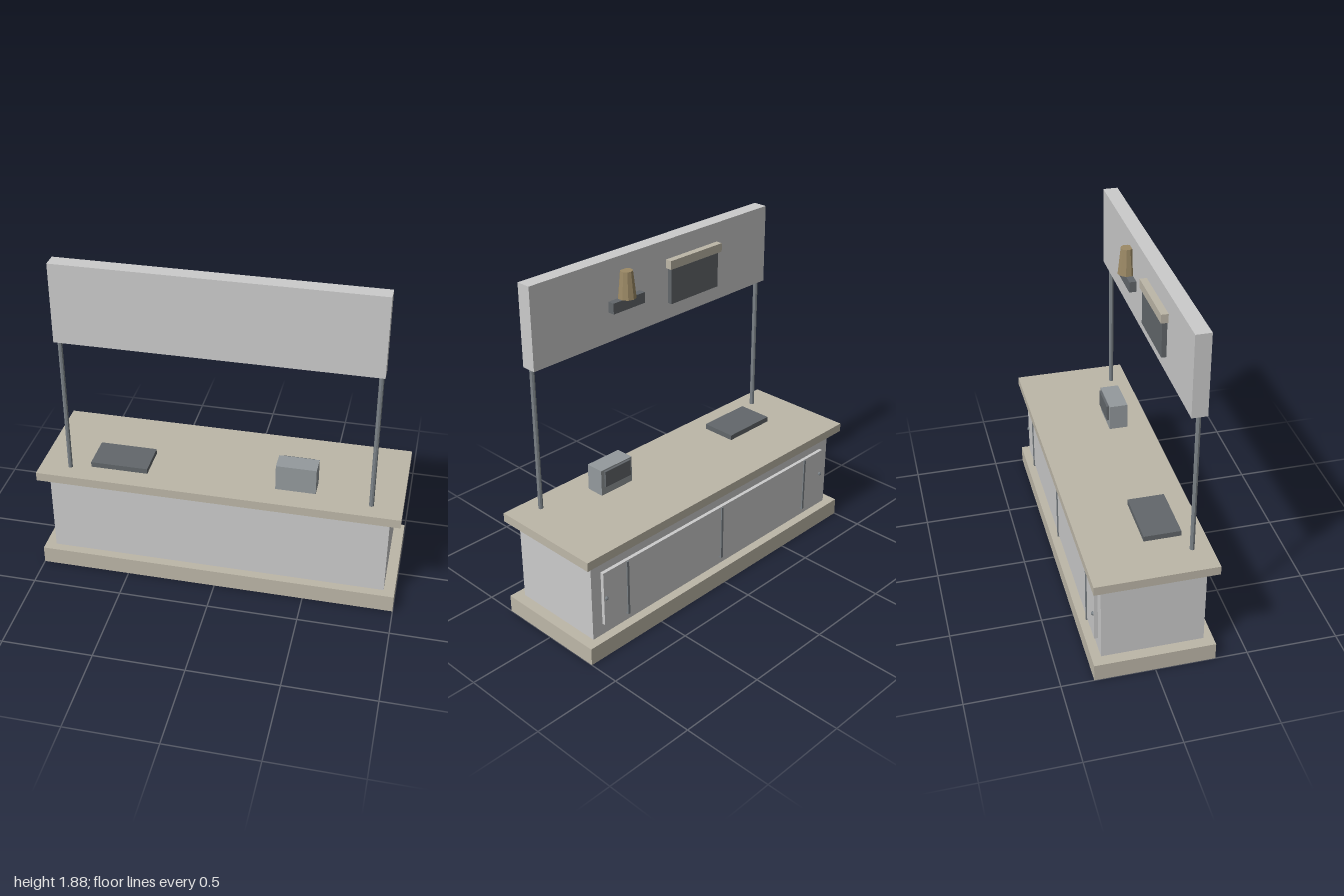
import * as THREE from 'three';

const mat = (color) => new THREE.MeshStandardMaterial({ color, flatShading: true });

export function createModel() {
  const model = new THREE.Group();
  const stone = mat(0xbdb7a8), panel = mat(0xcccccc), metal = mat(0x7c8388);
  const dark = mat(0x62676b), tan = mat(0x9c8a66), casing = mat(0x949a9d);

  const add = (name, geometry, material, x, y, z) => {
    const mesh = new THREE.Mesh(geometry, material);
    mesh.name = name;
    mesh.position.set(x, y, z);
    model.add(mesh);
    return mesh;
  };
  // Box given by its limits along each axis
  const box = (name, material, [x0, x1], [y0, y1], [z0, z1]) =>
    add(name, new THREE.BoxGeometry(x1 - x0, y1 - y0, z1 - z0), material,
      (x0 + x1) / 2, (y0 + y1) / 2, (z0 + z1) / 2);

  // Counter
  box('plinth', stone, [-1, 1], [0, 0.1], [-0.325, 0.325]);
  box('counterBody', panel, [-0.94, 0.94], [0.1, 0.575], [-0.275, 0.275]);
  box('countertop', stone, [-1, 1], [0.575, 0.625], [-0.325, 0.325]);

  // Sliding doors on the back, with dividers and knobs
  box('backDoors', panel, [-0.875, 0.875], [0.167, 0.485], [-0.295, -0.275]);
  for (const x of [-0.71, 0, 0.71])
    box('doorDivider', metal, [x - 0.007, x + 0.007], [0.153, 0.48], [-0.301, -0.275]);
  for (const x of [-0.86, 0.86])
    add('doorKnob', new THREE.SphereGeometry(0.011, 10, 8), metal, x, 0.33, -0.296);

  // Posts and overhead board
  for (const x of [-0.833, 0.833])
    add('post', new THREE.CylinderGeometry(0.013, 0.013, 0.815, 8), metal, x, 1.0275, 0.225);
  box('signBoard', panel, [-0.853, 0.853], [1.43, 1.875], [0.183, 0.265]);

  // Items on the counter
  box('counterTray', dark, [-0.72, -0.4], [0.625, 0.655], [0.003, 0.203]);
  box('registerCase', casing, [0.31, 0.53], [0.625, 0.775], [0.085, 0.19]);
  box('registerScreen', dark, [0.33, 0.51], [0.675, 0.768], [0.072, 0.085]);

  // Shelf with a tapered cup, on the back of the board
  box('cupShelf', dark, [0.133, 0.353], [1.593, 1.652], [0.145, 0.183]);
  add('taperedCup', new THREE.CylinderGeometry(0.034, 0.05, 0.146, 10), tan, 0.245, 1.725, 0.16);

  // Hanging sheet with its rail
  box('sheetRail', stone, [-0.45, -0.06], [1.72, 1.768], [0.145, 0.183]);
  box('hangingSheet', dark, [-0.433, -0.073], [1.52, 1.72], [0.157, 0.183]);

  return model;
}
